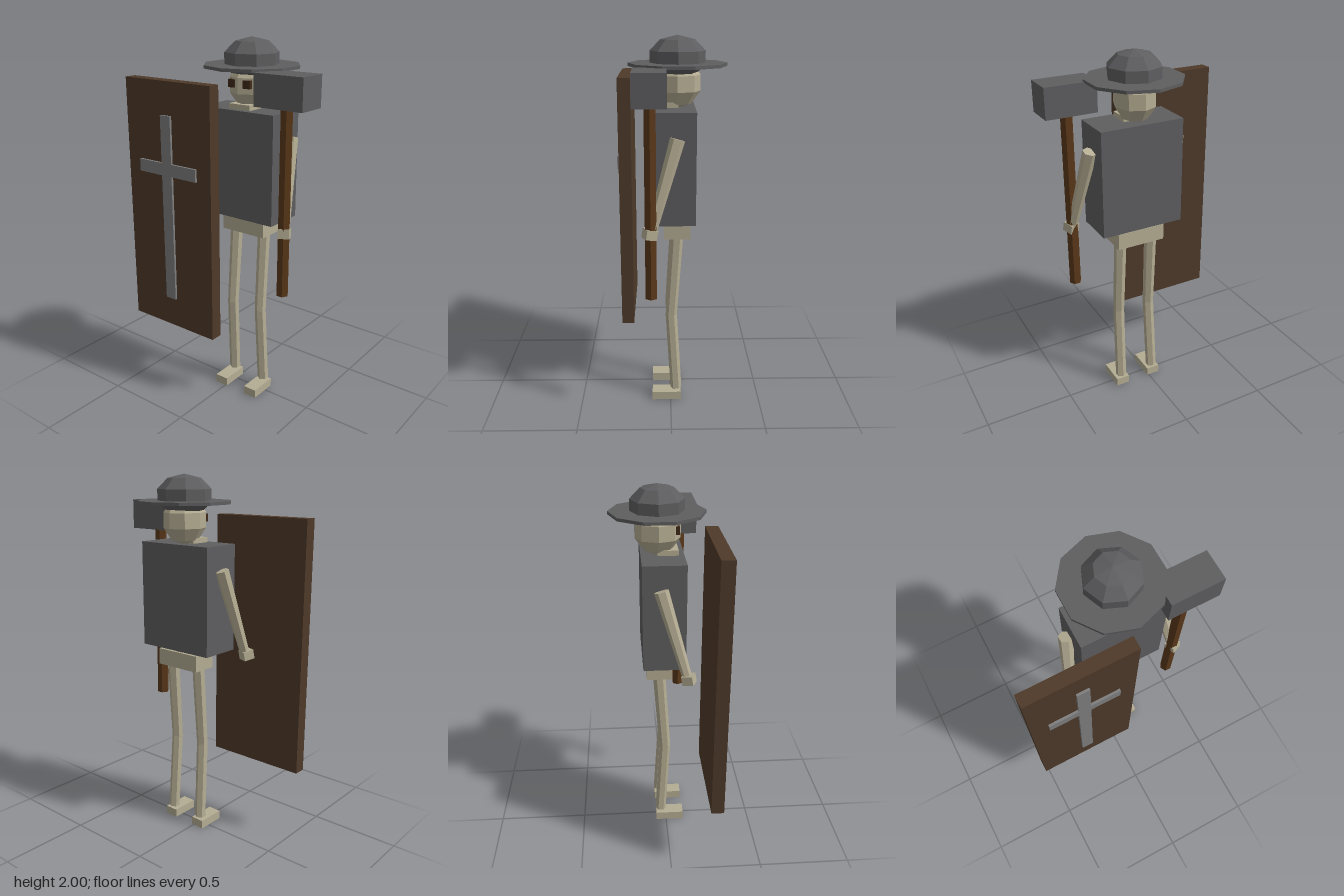
import * as THREE from 'three';

const material = (name, color) => {
  const m = new THREE.MeshStandardMaterial({ color, flatShading: true });
  m.name = name;
  return m;
};

export function createModel() {
  const bone = material('bone', 0xb5ad93);
  const steel = material('steel', 0x5e5e60);
  const silver = material('silver', 0x7e7e7e);
  const shieldWood = material('shield wood', 0x4e3a2a);
  const handleWood = material('handle wood', 0x5a3819);
  const socket = material('eye socket', 0x3f2917);

  const model = new THREE.Group();
  model.name = 'skeletonSoldier';
  const CX = 0.074; // middle of the body

  const add = (name, geometry, mat, x = 0, y = 0, z = 0, parent = model) => {
    const mesh = new THREE.Mesh(geometry, mat);
    mesh.name = name;
    mesh.position.set(x, y, z);
    parent.add(mesh);
    return mesh;
  };

  // Box given by its lower and upper corners
  const box = (name, mat, [x0, y0, z0], [x1, y1, z1], parent = model) =>
    add(name, new THREE.BoxGeometry(x1 - x0, y1 - y0, z1 - z0), mat,
      (x0 + x1) / 2, (y0 + y1) / 2, (z0 + z1) / 2, parent);

  // Six-sided bone running from a to b
  const limb = (name, a, b, ra, rb, parent) => {
    const from = new THREE.Vector3(...a), to = new THREE.Vector3(...b);
    const axis = from.clone().sub(to);
    const mid = from.clone().add(to).multiplyScalar(0.5);
    const mesh = add(name, new THREE.CylinderGeometry(ra, rb, axis.length(), 6), bone, mid.x, mid.y, mid.z, parent);
    mesh.quaternion.setFromUnitVectors(new THREE.Vector3(0, 1, 0), axis.normalize());
    return mesh;
  };

  // Legs, feet, arms and hands, mirrored about the body's middle
  for (const [side, s] of [['left', 1], ['right', -1]]) {
    const half = new THREE.Group();
    half.name = side + 'Limbs';
    half.position.x = CX;
    model.add(half);

    limb('thigh', [s * 0.093, 0.98, -0.035], [s * 0.096, 0.51, -0.004], 0.034, 0.031, half);
    limb('shin', [s * 0.096, 0.515, -0.004], [s * 0.103, 0.06, -0.031], 0.031, 0.031, half);
    const footX = s * 0.103;
    box('foot', bone, [footX - 0.039, 0, -0.058], [footX + 0.039, 0.048, 0.102], half);

    limb('arm', [s * 0.25, 1.52, -0.032], [s * 0.312, 1.06, 0.1], 0.038, 0.026, half);
    const hand = add('hand', new THREE.BoxGeometry(0.06, 0.05, 0.06), bone, s * 0.316, 1.057, 0.106, half);
    hand.rotation.set(-0.2, s * 0.4, s * 0.1);
  }

  // Trunk
  box('pelvis', bone, [CX - 0.136, 0.965, -0.105], [CX + 0.136, 1.055, 0.035]);
  add('spine', new THREE.CylinderGeometry(0.032, 0.032, 0.1, 6), bone, CX, 1.06, -0.068);
  box('breastplate', steel, [CX - 0.231, 1.07, -0.127], [CX + 0.231, 1.645, 0.1]);

  // Skull with jaw and eye sockets
  const skull = add('skull', new THREE.SphereGeometry(1, 8, 5), bone, CX, 1.765, -0.035);
  skull.scale.set(0.112, 0.13, 0.126);
  box('jaw', bone, [CX - 0.066, 1.635, -0.04], [CX + 0.066, 1.672, 0.07]);
  for (const s of [1, -1]) {
    box('eyeSocket', socket, [CX + s * 0.046 - 0.021, 1.754, 0.02], [CX + s * 0.046 + 0.021, 1.795, 0.075]);
  }

  // Helmet
  const dome = add('helmetDome', new THREE.SphereGeometry(1, 8, 5), steel, CX, 1.89, -0.037);
  dome.scale.set(0.149, 0.11, 0.149);
  add('helmetBrim', new THREE.CylinderGeometry(0.253, 0.253, 0.016, 10), steel, CX, 1.857, -0.037);

  // Hammer
  const handle = add('hammerHandle', new THREE.CylinderGeometry(0.033, 0.033, 0.99, 6), handleWood, 0.385, 1.205, 0.102);
  handle.rotation.y = Math.PI / 6;
  box('hammerHead', steel, [0.248, 1.695, 0.022], [0.523, 1.855, 0.185]);

  // Shield with raised cross
  box('shield', shieldWood, [-0.527, 0.4, 0.207], [0.05, 1.785, 0.275]);
  box('crossUpright', silver, [-0.275, 0.573, 0.27], [-0.207, 1.61, 0.288]);
  for (const [x0, x1] of [[-0.435, -0.275], [-0.207, -0.042]]) {
    box('crossArm', silver, [x0, 1.288, 0.27], [x1, 1.356, 0.288]);
  }

  return model;
}
